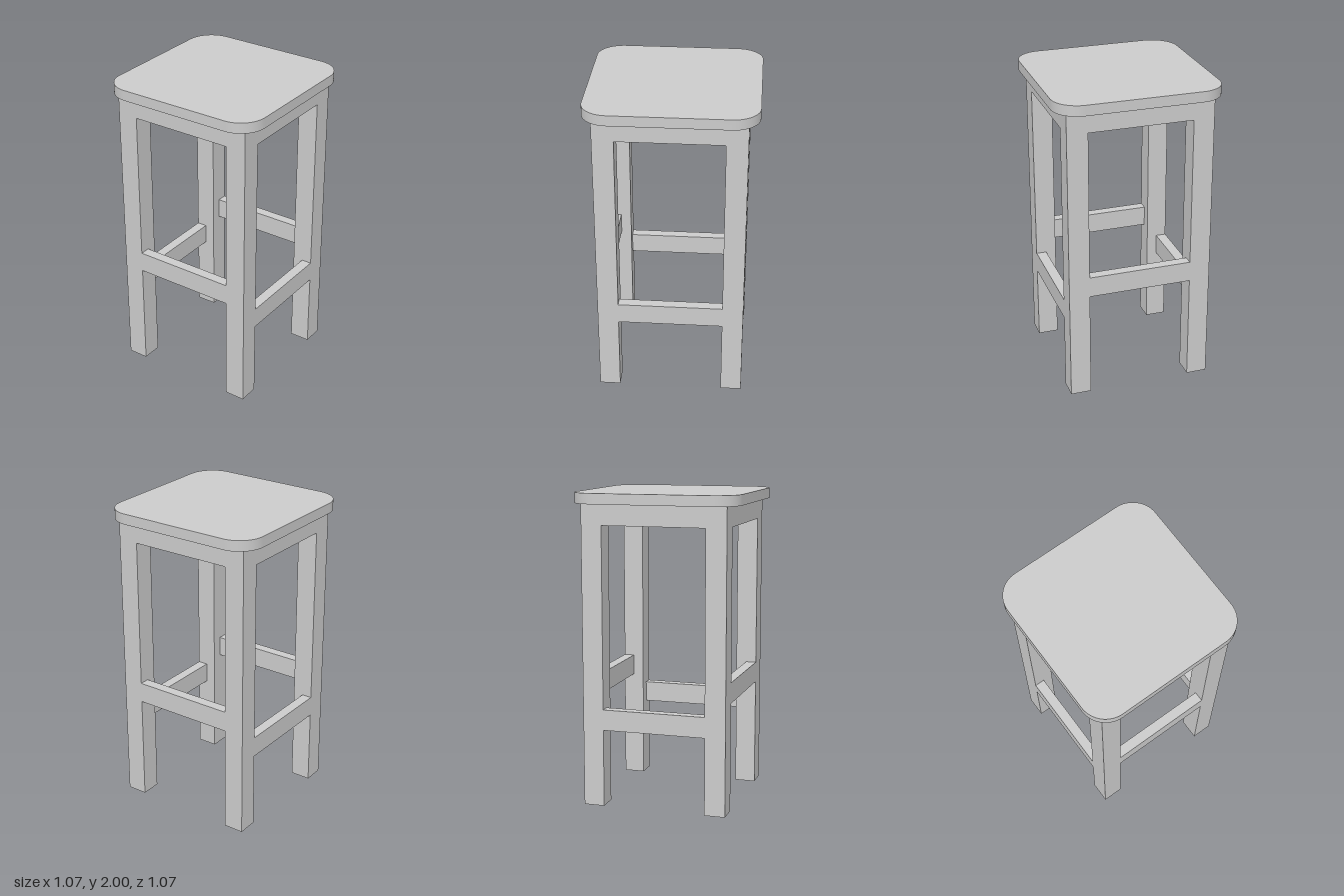
import * as THREE from 'three';
import { toCreasedNormals } from 'three/addons/utils/BufferGeometryUtils.js';

const T = 2 / 15;          // leg thickness
const OUT = 0.467;         // outer face of the frame
const SEAT_Y = 1.933;      // underside of the seat
const SPAN = 2 * (OUT - T); // gap between legs

// Square outline with rounded corners
function roundedSquare(h, r) {
  const s = new THREE.Shape();
  s.absarc(h - r, h - r, r, 0, Math.PI / 2);
  s.absarc(r - h, h - r, r, Math.PI / 2, Math.PI);
  s.absarc(r - h, r - h, r, Math.PI, Math.PI * 1.5);
  s.absarc(h - r, r - h, r, Math.PI * 1.5, Math.PI * 2);
  s.closePath();
  return s;
}

export function createModel() {
  const group = new THREE.Group();
  const material = new THREE.MeshStandardMaterial({ color: 0xcccccc });

  const add = (name, geometry, x, y, z) => {
    const mesh = new THREE.Mesh(geometry, material);
    mesh.name = name;
    mesh.position.set(x, y, z);
    group.add(mesh);
    return mesh;
  };

  // Seat slab with rounded corners
  const slab = new THREE.ExtrudeGeometry(roundedSquare(0.533, 0.167), {
    depth: 2 - SEAT_Y, bevelEnabled: false, curveSegments: 8,
  });
  slab.rotateX(-Math.PI / 2);
  add('seat', toCreasedNormals(slab, Math.PI / 6), 0, SEAT_Y, 0);

  // Four square legs
  const legGeo = new THREE.BoxGeometry(T, SEAT_Y, T);
  const c = OUT - T / 2;
  for (const [end, z] of [['front', c], ['back', -c]]) {
    add(end + 'LeftLeg', legGeo, c, SEAT_Y / 2, z);
    add(end + 'RightLeg', legGeo, -c, SEAT_Y / 2, z);
  }

  // Aprons as deep as the legs, thinner stretchers flush with the outside
  const apronGeo = new THREE.BoxGeometry(SPAN, T, T);
  const railGeo = new THREE.BoxGeometry(SPAN, T, T / 2);
  const r = OUT - T / 4;
  const apronY = SEAT_Y - T / 2;
  for (const [end, s] of [['front', 1], ['back', -1]]) {
    add(end + 'Apron', apronGeo, 0, apronY, s * c);
    add(end + 'Stretcher', railGeo, 0, 0.5 + T / 2, s * r);
  }
  for (const [side, s] of [['left', 1], ['right', -1]]) {
    add(side + 'Apron', apronGeo, s * c, apronY, 0).rotation.y = Math.PI / 2;
    add(side + 'Stretcher', railGeo, s * r, 0.7 + T / 2, 0).rotation.y = Math.PI / 2;
  }

  return group;
}
